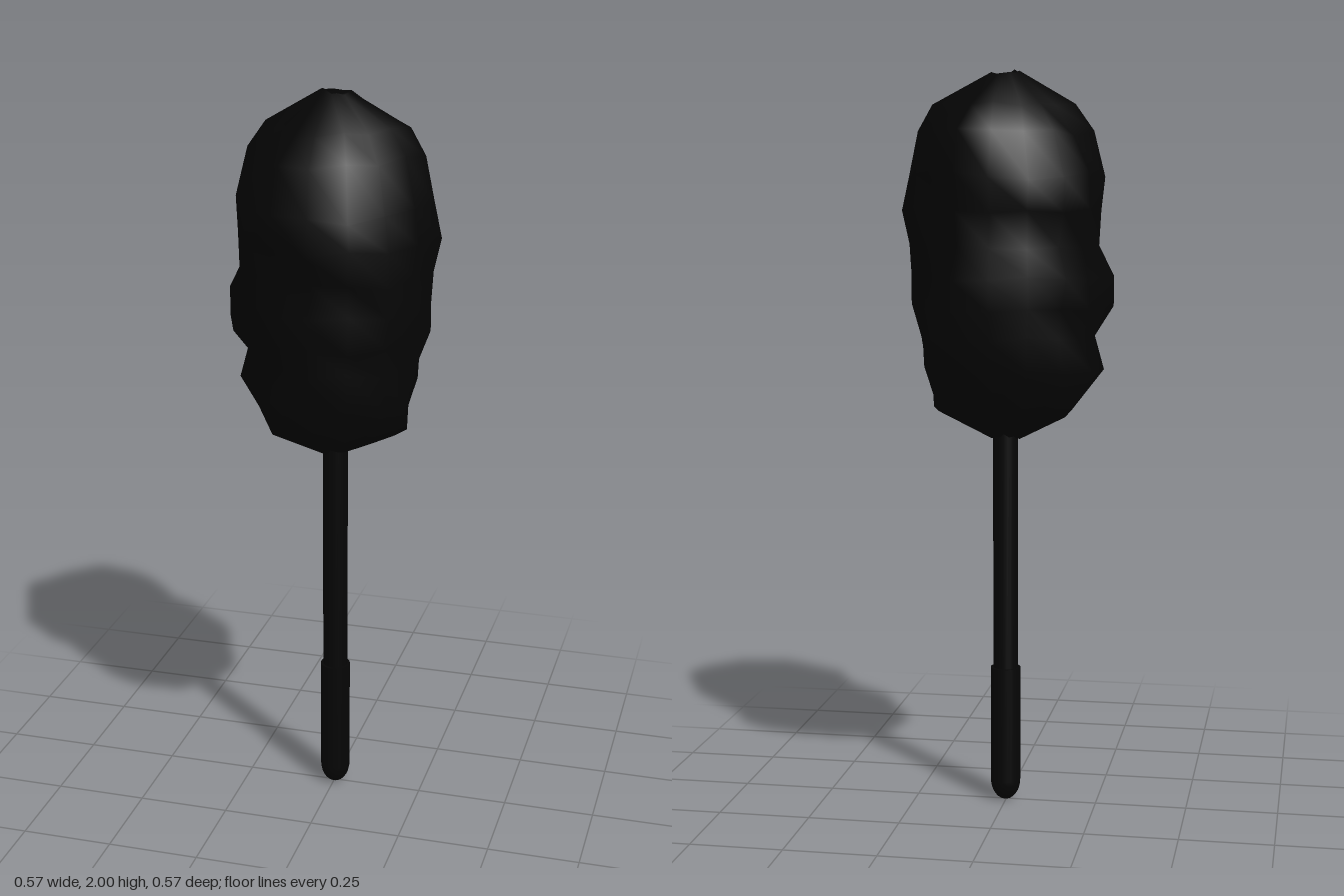
import * as THREE from 'three';
import { mergeVertices } from 'three/addons/utils/BufferGeometryUtils.js';

const black = new THREE.MeshStandardMaterial({ color: 0x050505 });

// Head rings from bottom to top: height, then radius in eight directions
// starting at +z and turning towards +x
const RINGS = [
  [1.03, 0.03, 0.05, 0.04, 0.05, 0.03, 0.05, 0.04, 0.05],
  [1.10, 0.19, 0.19, 0.20, 0.18, 0.17, 0.20, 0.18, 0.19],
  [1.21, 0.25, 0.26, 0.205, 0.25, 0.24, 0.26, 0.265, 0.23],
  [1.30, 0.245, 0.26, 0.23, 0.27, 0.26, 0.24, 0.24, 0.21],
  [1.38, 0.25, 0.265, 0.26, 0.255, 0.28, 0.245, 0.29, 0.23],
  [1.46, 0.265, 0.275, 0.26, 0.24, 0.285, 0.265, 0.29, 0.24],
  [1.54, 0.22, 0.275, 0.265, 0.245, 0.265, 0.235, 0.25, 0.24],
  [1.63, 0.29, 0.27, 0.285, 0.235, 0.25, 0.255, 0.255, 0.26],
  [1.72, 0.26, 0.25, 0.265, 0.245, 0.28, 0.255, 0.265, 0.275],
  [1.84, 0.24, 0.22, 0.24, 0.23, 0.235, 0.21, 0.235, 0.22],
  [1.91, 0.19, 0.17, 0.20, 0.16, 0.205, 0.15, 0.185, 0.15],
  [1.99, 0.03, 0.05, 0.04, 0.05, 0.04, 0.05, 0.03, 0.05],
];
const SIDES = 16;

// Repeatable noise in 0..1
function noise(a, b) {
  const s = Math.sin(a * 127.1 + b * 311.7) * 43758.5453;
  return s - Math.floor(s);
}

// Fluffy head: a lathe whose vertices follow the ring radii, with rough tufts in between
function headGeometry() {
  const profile = RINGS.map(([y]) => new THREE.Vector2(0.2, y));
  profile.unshift(new THREE.Vector2(0, 1.02));
  profile.push(new THREE.Vector2(0, 1.98));
  const geo = new THREE.LatheGeometry(profile, SIDES);
  const pos = geo.attributes.position;
  const rows = profile.length;
  for (let i = 0; i < pos.count; i++) {
    const row = i % rows, side = Math.floor(i / rows) % SIDES;
    if (row === 0 || row === rows - 1) continue;
    const [y, ...radii] = RINGS[row - 1];
    const k = Math.floor(side / 2);
    let r = radii[k];
    let h = y;
    if (side % 2) {
      r = (r + radii[(k + 1) % 8]) / 2 * (0.91 + 0.13 * noise(row, side));
      h += (noise(side, row + 40) - 0.5) * 0.03;
    }
    const a = (side / SIDES) * Math.PI * 2;
    pos.setXYZ(i, r * Math.sin(a), h, r * Math.cos(a));
  }
  geo.deleteAttribute('uv');
  geo.deleteAttribute('normal');
  const merged = mergeVertices(geo, 1e-4);
  merged.computeVertexNormals();
  return merged;
}

export function createModel() {
  const group = new THREE.Group();
  const add = (name, geometry, x, y) => {
    const mesh = new THREE.Mesh(geometry, black);
    mesh.name = name;
    mesh.position.set(x, y, 0);
    group.add(mesh);
  };

  add('dusterHead', headGeometry(), 0, 0);

  // Rod running up into the head
  const axis = 0.002;
  add('rod', new THREE.CylinderGeometry(0.034, 0.034, 0.7, 24), axis, 0.72);

  // Grip with a rounded end
  add('grip', new THREE.CylinderGeometry(0.041, 0.041, 0.32, 24), axis, 0.22);
  const end = new THREE.SphereGeometry(0.041, 24, 8, 0, Math.PI * 2, Math.PI / 2, Math.PI / 2);
  end.scale(1, 1.4, 1);
  add('gripEnd', end, axis, 0.06);

  return group;
}
